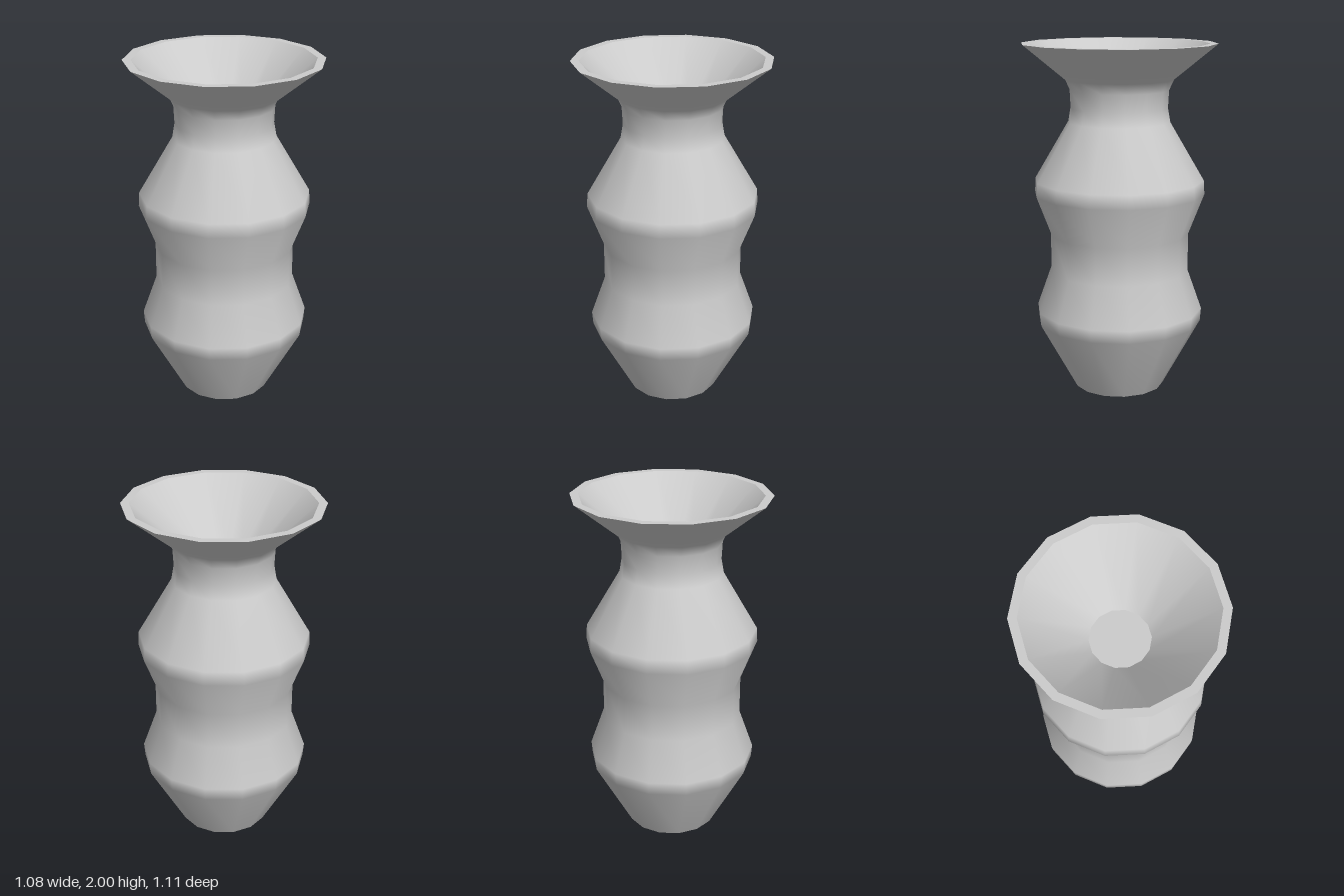
import * as THREE from 'three';

const SIDES = 14;

// Revolves a [radius, height] profile; separate profiles keep hard edges between them
function revolve(name, profile, material) {
  const points = profile.map(([r, y]) => new THREE.Vector2(r, y));
  const mesh = new THREE.Mesh(new THREE.LatheGeometry(points, SIDES), material);
  mesh.name = name;
  return mesh;
}

export function createModel() {
  const vase = new THREE.Group();
  vase.name = 'vase';
  const material = new THREE.MeshStandardMaterial({ color: 0xcccccc });

  const base = 0.26, rim = 0.555, mouth = 0.508;
  const wellRadius = 0.165, wellHeight = 1.67;

  // Flat underside
  vase.add(revolve('base', [[0, 0], [base, 0]], material));

  // Smooth outer wall: two bulges, a waist, a neck and a flared mouth
  vase.add(revolve('body', [
    [base, 0],
    [0.476, 0.395], [0.482, 0.47],
    [0.4, 0.7], [0.4, 0.915],
    [0.49, 1.15], [0.485, 1.23],
    [0.291, 1.56], [0.277, 1.64], [0.282, 1.74], [0.31, 1.8],
    [rim, 2],
  ], material));

  // Flat ring around the opening
  vase.add(revolve('rim', [[rim, 2], [mouth, 2]], material));

  // Funnel-shaped inside and its flat floor
  vase.add(revolve('funnel', [[mouth, 2], [wellRadius, wellHeight]], material));
  vase.add(revolve('funnelFloor', [[wellRadius, wellHeight], [0, wellHeight]], material));

  return vase;
}
